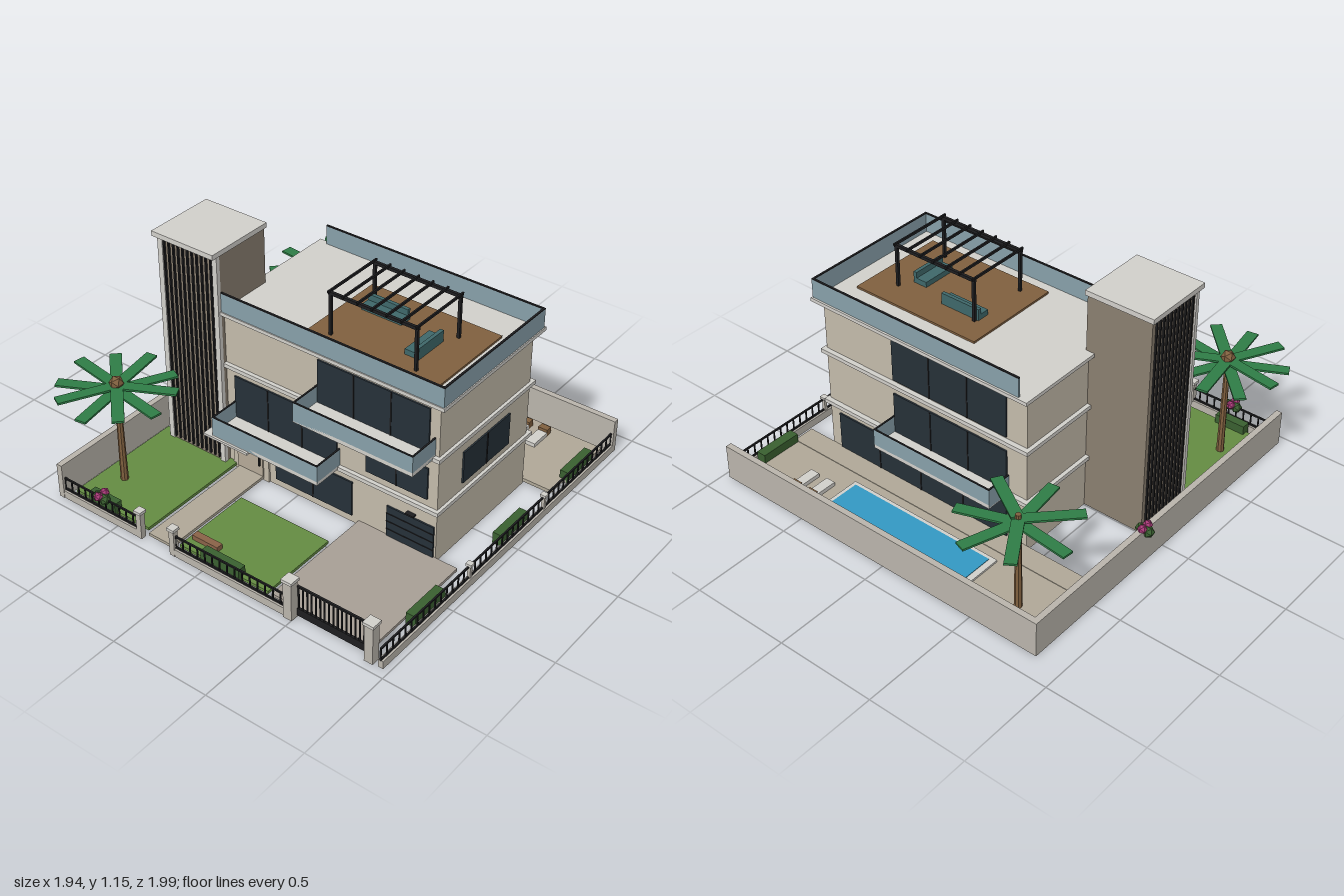
import * as THREE from 'three';

const paint = {};
const mat = (c) => (paint[c] ??= new THREE.MeshStandardMaterial({ color: c, flatShading: true }));
const WALL = 0xc4bbab, TRIM = 0xd2d0cb, STONE = 0x8a7f70, DARK = 0x263038, GLASS = 0x88a0aa,
  METAL = 0x1e1e20, WOOD = 0x80603f, LEAF = 0x2f7d46, HEDGE = 0x3a6030, LAWN = 0x648c42,
  PAVE = 0xb0a898, TEAL = 0x3f686a, FENCE = 0xbab5ac;

function add(parent, name, geo, color, x = 0, y = 0, z = 0) {
  const m = new THREE.Mesh(geo, mat(color));
  m.name = name;
  m.position.set(x, y, z);
  parent.add(m);
  return m;
}
// Box given by its limits on each axis
function box(parent, name, color, x0, x1, y0, y1, z0, z1) {
  return add(parent, name, new THREE.BoxGeometry(x1 - x0, y1 - y0, z1 - z0), color,
    (x0 + x1) / 2, (y0 + y1) / 2, (z0 + z1) / 2);
}
function group(parent, name) {
  const g = new THREE.Group();
  g.name = name;
  parent.add(g);
  return g;
}

// Low wall with a railing, running along local +x from the origin
function railing(parent, name, length, x, z, turn = 0) {
  const g = group(parent, name);
  g.position.set(x, 0, z);
  g.rotation.y = turn;
  box(g, 'lowWall', FENCE, 0, length, 0, 0.04, -0.013, 0.013);
  for (const y of [0.045, 0.105]) box(g, 'rail', METAL, 0, length, y - 0.004, y + 0.004, -0.004, 0.004);
  const n = Math.round(length / 0.042);
  for (let i = 0; i <= n; i++) {
    const p = (i / n) * length;
    box(g, 'baluster', METAL, p - 0.003, p + 0.003, 0.04, 0.105, -0.003, 0.003);
  }
}

function post(parent, x, z, h, w) {
  box(parent, 'fencePost', FENCE, x - w, x + w, 0, h - 0.015, z - w, z + w);
  box(parent, 'postCap', TRIM, x - w - 0.006, x + w + 0.006, h - 0.015, h, z - w - 0.006, z + w + 0.006);
}

// Window pane with mullions; axis is the direction it faces
function windowPane(parent, name, axis, at, a0, a1, y0, y1, panes) {
  const lay = (n, c, p0, p1, d) => axis === 'x'
    ? box(parent, n, c, at - d, at + d, y0, y1, p0, p1)
    : box(parent, n, c, p0, p1, y0, y1, at - d, at + d);
  lay(name, DARK, a0, a1, 0.006);
  for (let i = 1; i < panes; i++) {
    const p = a0 + (a1 - a0) * i / panes;
    lay('mullion', METAL, p - 0.003, p + 0.003, 0.009);
  }
}

function balcony(parent, name, x0, x1, y, zWall, zEdge) {
  const g = group(parent, name), s = Math.sign(zEdge - zWall), e = zEdge - s * 0.008;
  const span = (a, b) => [Math.min(a, b), Math.max(a, b)];
  box(g, 'balconyFloor', TRIM, x0, x1, y, y + 0.02, ...span(zWall, zEdge));
  box(g, 'frontGlass', GLASS, x0, x1, y + 0.005, y + 0.1, ...span(e, zEdge));
  box(g, 'frontRail', METAL, x0, x1, y + 0.1, y + 0.104, ...span(e, zEdge));
  for (const [a, b] of [[x0, x0 + 0.008], [x1 - 0.008, x1]]) {
    box(g, 'sideGlass', GLASS, a, b, y + 0.005, y + 0.1, ...span(zWall, e));
    box(g, 'sideRail', METAL, a, b, y + 0.1, y + 0.104, ...span(zWall, e));
  }
}

function palm(parent, x, z, height, leafY, count, startDeg, crown) {
  const g = group(parent, 'palm');
  g.position.set(x, 0, z);
  add(g, 'trunk', new THREE.CylinderGeometry(0.013, 0.019, height, 8), WOOD, 0, height / 2, 0);
  for (let i = 0; i < count; i++) {
    const pivot = group(g, 'frond');
    pivot.position.y = leafY + (i % 2) * 0.02;
    pivot.rotation.y = -THREE.MathUtils.degToRad(startDeg + i * 360 / count);
    box(pivot, 'frondBlade', LEAF, 0.01, 0.28, -0.005, 0.005, -0.028, 0.028);
  }
  if (crown) add(g, 'crown', new THREE.IcosahedronGeometry(0.035, 0), WOOD, 0, height + 0.01, 0);
}

function flowers(parent, x, y, z) {
  const g = group(parent, 'floweringShrub');
  g.position.set(x, y, z);
  for (const s of [-1, 1]) {
    add(g, 'leaves', new THREE.IcosahedronGeometry(0.028, 0), HEDGE, s * 0.02, -0.005, 0);
    add(g, 'blossom', new THREE.IcosahedronGeometry(0.023, 0), 0xa83a78, 0, 0.012, s * 0.02);
  }
}

export function createModel() {
  const root = new THREE.Group();
  root.name = 'villa';

  // Grounds
  const yard = group(root, 'grounds');
  box(yard, 'frontLawn', LAWN, -0.805, -0.36, 0.01, 0.025, 0.28, 0.9);
  box(yard, 'middleLawn', LAWN, -0.175, 0.325, 0.01, 0.025, 0.485, 0.9);
  box(yard, 'path', PAVE, -0.335, -0.195, 0.01, 0.025, 0.29, 0.925);
  box(yard, 'driveway', 0xa89f96, 0.345, 0.875, 0.01, 0.025, 0.29, 0.9);
  box(yard, 'poolDeck', PAVE, -0.81, 0.925, 0.01, 0.025, -0.835, -0.52);
  box(yard, 'terrace', PAVE, -0.81, 0.91, 0.01, 0.028, -0.52, -0.41);
  box(yard, 'poolCoping', TRIM, -0.385, 0.465, 0.01, 0.035, -0.79, -0.57);
  box(yard, 'poolWater', 0x3399c4, -0.355, 0.445, 0.02, 0.038, -0.77, -0.59);
  for (const x of [0.55, 0.65]) {
    box(yard, 'lounger', TRIM, x - 0.025, x + 0.025, 0.025, 0.045, -0.755, -0.645);
    box(yard, 'loungerBack', WOOD, x - 0.025, x + 0.025, 0.025, 0.06, -0.79, -0.755);
  }
  box(yard, 'bench', 0x8a6248, -0.155, -0.01, 0.025, 0.05, 0.805, 0.84);
  for (const [a, b] of [[-0.735, -0.52], [-0.175, 0.04], [0.475, 0.69]])
    box(yard, 'sideHedge', HEDGE, 0.89, 0.94, 0.01, 0.07, a, b);
  for (const [a, b] of [[-0.71, -0.55], [-0.04, 0.175]])
    box(yard, 'frontHedge', HEDGE, a, b, 0.01, 0.07, 0.87, 0.915);
  palm(yard, -0.69, 0.705, 0.55, 0.525, 10, 9, true);
  palm(yard, -0.63, -0.725, 0.53, 0.485, 7, -20, false);
  flowers(yard, -0.6, 0.11, 0.94);
  flowers(yard, -0.85, 0.175, -0.13);

  // Perimeter walls, railings and gate
  const fence = group(root, 'fence');
  box(fence, 'backWall', FENCE, -0.86, 0.97, 0, 0.18, -0.89, -0.86);
  box(fence, 'leftBoundaryWall', FENCE, -0.86, -0.83, 0, 0.18, -0.86, 0.955);
  railing(fence, 'frontRailingA', 0.46, -0.83, 0.94);
  railing(fence, 'frontRailingB', 0.63, -0.16, 0.94);
  railing(fence, 'sideRailing', 1.815, 0.957, 0.955, Math.PI / 2);
  for (const x of [-0.367, -0.172]) post(fence, x, 0.94, 0.15, 0.014);
  for (const x of [0.48, 0.9]) post(fence, x, 0.94, 0.21, 0.022);
  for (const z of [-0.27, 0.32]) post(fence, 0.957, z, 0.12, 0.008);
  box(fence, 'gatePanel', METAL, 0.505, 0.877, 0.01, 0.05, 0.915, 0.927);
  box(fence, 'gateTopRail', METAL, 0.505, 0.877, 0.163, 0.172, 0.916, 0.926);
  for (let i = 0; i <= 16; i++) {
    const x = 0.51 + i * 0.0226;
    box(fence, 'gateBar', METAL, x - 0.003, x + 0.003, 0.05, 0.165, 0.918, 0.924);
  }

  // House body and floor slabs
  const house = group(root, 'house');
  box(house, 'walls', WALL, -0.42, 0.76, 0, 0.835, -0.41, 0.29);
  for (const y of [0.267, 0.55]) box(house, 'floorSlab', TRIM, -0.44, 0.775, y, y + 0.02, -0.435, 0.31);
  box(house, 'roofSlab', TRIM, -0.45, 0.795, 0.83, 0.848, -0.455, 0.32);

  // Windows
  windowPane(house, 'topFrontWindow', 'z', 0.292, 0.12, 0.71, 0.575, 0.8, 3);
  windowPane(house, 'middleFrontWindow', 'z', 0.292, -0.355, 0.225, 0.29, 0.515, 3);
  windowPane(house, 'smallFrontWindow', 'z', 0.292, 0.385, 0.71, 0.325, 0.49, 2);
  windowPane(house, 'groundFrontWindow', 'z', 0.292, -0.125, 0.31, 0.04, 0.225, 2);
  windowPane(house, 'sideWindow', 'x', 0.762, -0.25, 0.11, 0.325, 0.49, 2);
  windowPane(house, 'topBackWindow', 'z', -0.412, -0.31, 0.345, 0.58, 0.795, 3);
  windowPane(house, 'middleBackWindow', 'z', -0.412, -0.31, 0.345, 0.29, 0.505, 3);
  windowPane(house, 'groundBackWindow', 'z', -0.412, -0.31, 0.7, 0.03, 0.225, 4);

  // Entrance and garage
  box(house, 'entrySurround', WALL, -0.375, -0.165, 0, 0.267, 0.29, 0.3);
  box(house, 'frontDoor', 0xb5aa98, -0.345, -0.195, 0.02, 0.215, 0.3, 0.307);
  box(house, 'doorHandle', METAL, -0.215, -0.208, 0.08, 0.13, 0.307, 0.315);
  box(house, 'entryCanopy', TRIM, -0.405, -0.15, 0.262, 0.274, 0.29, 0.466);
  box(house, 'garageDoor', DARK, 0.5, 0.75, 0.02, 0.19, 0.288, 0.298);
  for (let i = 1; i < 4; i++) box(house, 'garageGroove', METAL, 0.5, 0.75, 0.02 + i * 0.043, 0.024 + i * 0.043, 0.29, 0.301);
  for (const [x, y] of [[-0.27, 0.235], [0.63, 0.208]]) box(house, 'wallLamp', METAL, x - 0.022, x + 0.022, y - 0.004, y + 0.004, 0.29, 0.313);

  // Balconies
  balcony(house, 'middleFrontBalcony', -0.36, 0.24, 0.272, 0.29, 0.455);
  balcony(house, 'topFrontBalcony', 0.11, 0.74, 0.558, 0.29, 0.455);
  balcony(house, 'backBalcony', -0.32, 0.355, 0.272, -0.41, -0.545);

  // Roof terrace: glass parapet on three sides, deck, pergola and sofas
  const roof = group(root, 'roofTerrace');
  const sides = [[-0.4, 0.79, 0.305, 0.315], [-0.4, 0.79, -0.445, -0.435], [0.78, 0.79, -0.435, 0.305]];
  for (const [x0, x1, z0, z1] of sides) {
    box(roof, 'parapetGlass', GLASS, x0, x1, 0.845, 0.942, z0, z1);
    box(roof, 'parapetRail', METAL, x0, x1, 0.942, 0.947, z0, z1);
  }
  box(roof, 'deck', WOOD, -0.005, 0.69, 0.845, 0.858, -0.265, 0.25);
  for (const z of [-0.14, 0.175]) {
    for (const x of [0.1, 0.55]) box(roof, 'pergolaPost', METAL, x - 0.007, x + 0.007, 0.855, 1.065, z - 0.007, z + 0.007);
    box(roof, 'pergolaBeam', METAL, 0.09, 0.56, 1.06, 1.075, z - 0.007, z + 0.007);
  }
  for (let i = 0; i < 7; i++) {
    const x = 0.097 + i * 0.076;
    box(roof, 'pergolaSlat', METAL, x - 0.004, x + 0.004, 1.07, 1.082, -0.155, 0.19);
  }
  box(roof, 'sofaSeat', TEAL, 0.085, 0.3, 0.858, 0.885, -0.13, -0.065);
  box(roof, 'sofaBack', TEAL, 0.085, 0.3, 0.885, 0.915, -0.13, -0.112);
  box(roof, 'sofaSeat', TEAL, 0.44, 0.515, 0.858, 0.885, -0.075, 0.105);
  box(roof, 'sofaBack', TEAL, 0.497, 0.515, 0.885, 0.915, -0.075, 0.105);

  // Stair tower with vertical slats on the front and outer side
  const tower = group(root, 'stairTower');
  box(tower, 'towerBody', STONE, -0.74, -0.405, 0, 1.135, 0.005, 0.322);
  box(tower, 'towerCap', TRIM, -0.752, -0.398, 1.13, 1.155, -0.005, 0.36);
  for (const [a, b] of [[-0.748, -0.72], [-0.43, -0.403]]) box(tower, 'frontEdge', TRIM, a, b, 0, 1.13, 0.31, 0.33);
  for (let i = 0; i < 11; i++) {
    const x = -0.71 + i * 0.027, z = 0.03 + i * 0.026;
    box(tower, 'frontSlat', METAL, x - 0.004, x + 0.004, 0.04, 1.12, 0.32, 0.332);
    box(tower, 'sideSlat', METAL, -0.748, -0.738, 0.04, 1.12, z - 0.004, z + 0.004);
  }
  return root;
}
